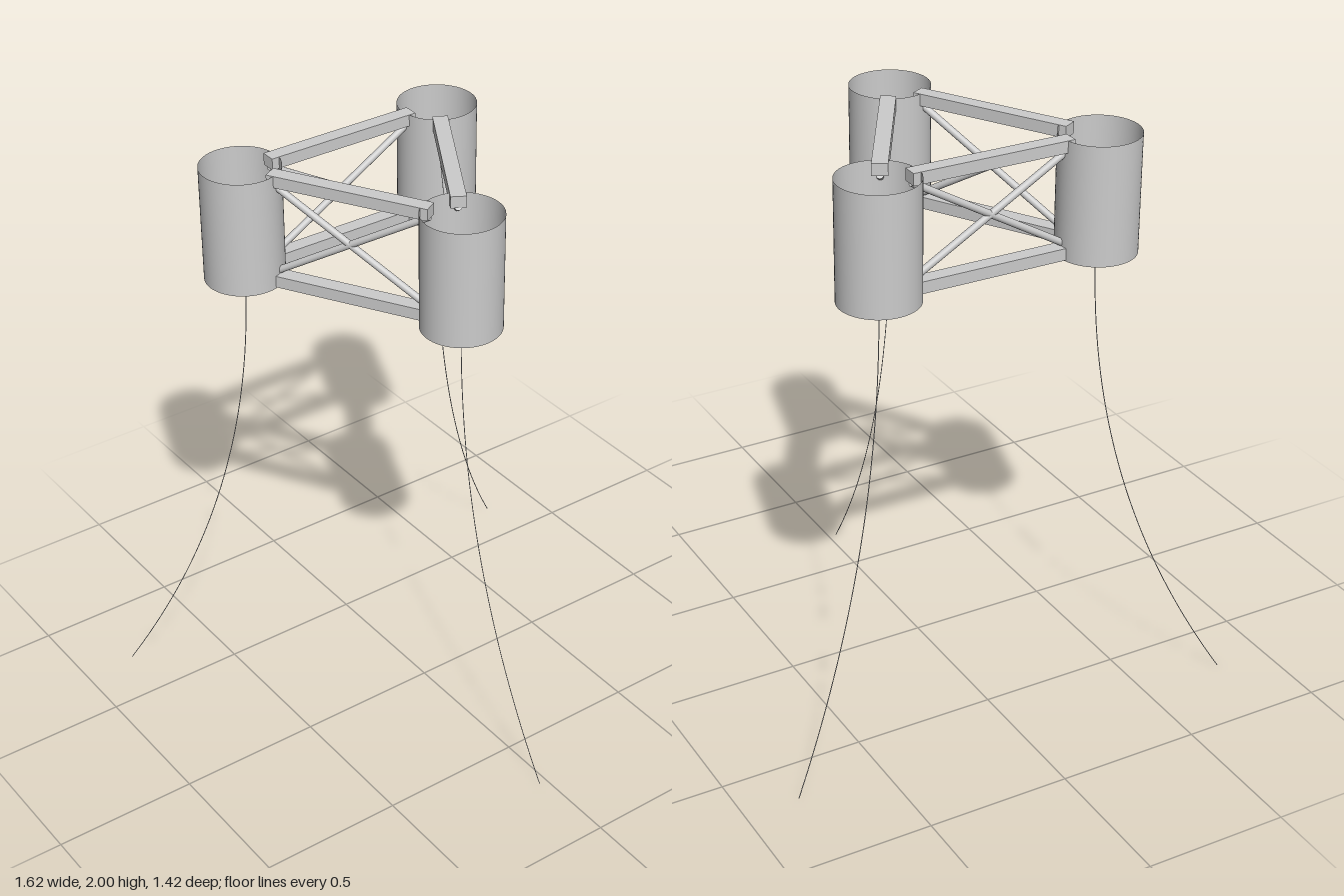
import * as THREE from 'three';

const BOTTOM = 1.592, TOP = 2, RADIUS = 0.1355, BEAM_W = 0.052, BEAM_H = 0.041;
// column centre and anchor point of its mooring line, as [x, z]
const COLUMNS = [
  { name: 'front', at: [-0.016, 0.221], anchor: [-0.03, 0.71] },
  { name: 'backRight', at: [-0.4, -0.455], anchor: [-0.81, -0.71] },
  { name: 'backLeft', at: [0.383, -0.451], anchor: [0.808, -0.675] },
];

export function createModel() {
  const model = new THREE.Group();
  const grey = new THREE.MeshStandardMaterial({ color: 0xcccccc });
  const greyThin = new THREE.MeshStandardMaterial({ color: 0xcccccc, side: THREE.DoubleSide });

  const add = (parent, name, geometry, material = grey) => {
    const mesh = new THREE.Mesh(geometry, material);
    mesh.name = name;
    parent.add(mesh);
    return mesh;
  };

  // hollow columns, open above, with a floor plate and a mooring line each
  for (const { name, at, anchor } of COLUMNS) {
    const column = new THREE.Group();
    column.name = name + 'Column';
    column.position.set(at[0], BOTTOM, at[1]);
    const h = TOP - BOTTOM;
    add(column, 'wall', new THREE.CylinderGeometry(RADIUS, RADIUS, h, 64, 1, true).translate(0, h / 2, 0), greyThin);
    add(column, 'floor', new THREE.CircleGeometry(RADIUS, 64).rotateX(Math.PI / 2), greyThin);
    model.add(column);

    // line leaves the floor straight down and sweeps out to its anchor
    const line = new THREE.QuadraticBezierCurve3(
      new THREE.Vector3(at[0], BOTTOM, at[1]),
      new THREE.Vector3(at[0], 0.7, at[1]),
      new THREE.Vector3(anchor[0], 0, anchor[1]));
    add(model, name + 'MooringLine', new THREE.TubeGeometry(line, 60, 0.0015, 6), greyThin);
  }

  // mitred triangular frame joining the column bottoms
  const centre = new THREE.Vector2();
  COLUMNS.forEach(c => centre.add(new THREE.Vector2(...c.at).divideScalar(3)));
  const triangle = offset => COLUMNS.map(c => {
    const v = new THREE.Vector2(...c.at).sub(centre);
    return v.setLength(v.length() + offset).add(centre);
  });
  const frame = new THREE.Shape(triangle(0.063));
  frame.holes.push(new THREE.Path(triangle(-0.045)));
  add(model, 'bottomFrame', new THREE.ExtrudeGeometry(frame, { depth: BEAM_H, bevelEnabled: false })
    .rotateX(Math.PI / 2).translate(0, BOTTOM + 0.004 + BEAM_H, 0));

  // top beams and crossed braces between each pair of columns
  COLUMNS.forEach((from, i) => {
    const to = COLUMNS[(i + 1) % 3];
    const a = new THREE.Vector3(from.at[0], 0, from.at[1]);
    const b = new THREE.Vector3(to.at[0], 0, to.at[1]);
    const dir = b.clone().sub(a).normalize();
    a.addScaledVector(dir, 0.107);
    b.addScaledVector(dir, -0.107);

    const side = new THREE.Group();
    side.name = from.name + 'Truss';
    model.add(side);

    const beam = add(side, 'topBeam', new THREE.BoxGeometry(BEAM_W, BEAM_H, a.distanceTo(b)));
    beam.position.copy(a).lerp(b, 0.5).setY(TOP - BEAM_H / 2);
    beam.rotation.y = Math.atan2(dir.x, dir.z);

    for (const [ya, yb] of [[1.96, 1.636], [1.636, 1.96]]) {
      const p = a.clone().addScaledVector(dir, 0.006).setY(ya);
      const q = b.clone().addScaledVector(dir, -0.006).setY(yb);
      const brace = add(side, 'diagonalBrace', new THREE.CylinderGeometry(0.012, 0.012, p.distanceTo(q), 20));
      brace.position.copy(p).lerp(q, 0.5);
      brace.quaternion.setFromUnitVectors(new THREE.Vector3(0, 1, 0), q.sub(p).normalize());
    }
  });

  return model;
}
